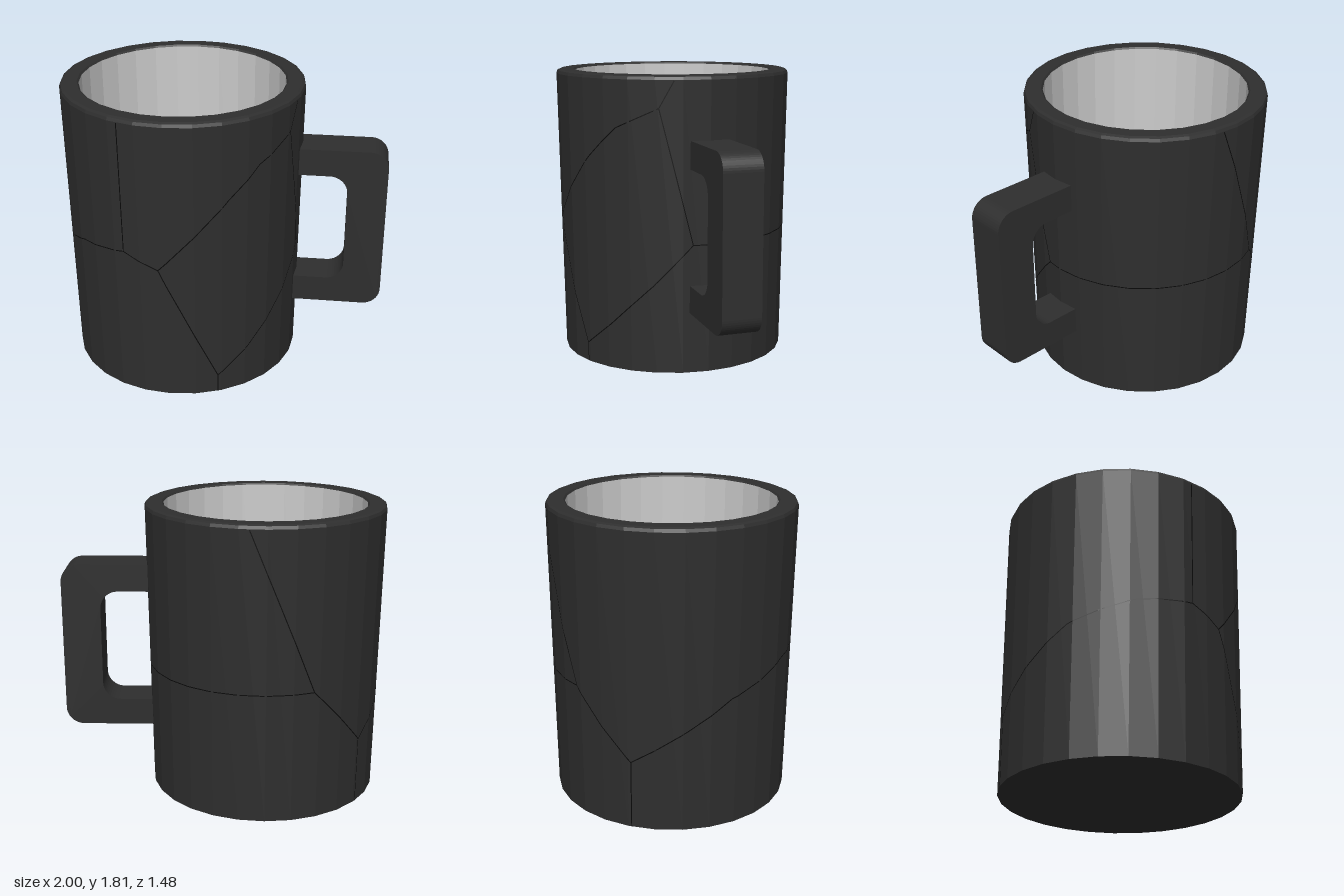
import * as THREE from 'three';

const SIDES = 28, CX = -0.26, HEIGHT = 1.81, R_BASE = 0.713, R_TOP = 0.741;

const mat = (color) => new THREE.MeshStandardMaterial({ color, flatShading: true, side: THREE.DoubleSide });

function lathe(name, profile, material) {
  const points = profile.map(([r, y]) => new THREE.Vector2(r, y));
  const mesh = new THREE.Mesh(new THREE.LatheGeometry(points, SIDES), material);
  mesh.name = name;
  mesh.position.x = CX;
  return mesh;
}

// Point on the faceted outer wall at an angle (from +x towards +z) and height
function onWall(angle, y) {
  const step = (2 * Math.PI) / SIDES;
  const offset = angle - Math.floor(angle / step) * step - step / 2;
  const radius = R_BASE + (R_TOP - R_BASE) * (y / HEIGHT);
  const r = (radius * Math.cos(step / 2)) / Math.cos(offset) + 0.0015;
  return [CX + r * Math.cos(angle), y, r * Math.sin(angle)];
}

// Hairline strip following [degrees, height] points over the wall
function crack(path, material) {
  const half = 0.003, pos = [], index = [];
  for (let i = 0; i < path.length - 1; i++) {
    const [a0, y0] = [THREE.MathUtils.degToRad(path[i][0]), path[i][1]];
    const [a1, y1] = [THREE.MathUtils.degToRad(path[i + 1][0]), path[i + 1][1]];
    const ds = (a1 - a0) * 0.73, dy = y1 - y0, len = Math.hypot(ds, dy);
    const da = (-dy / len) * half / 0.73, dh = (ds / len) * half;
    const steps = Math.ceil(len / 0.04);
    for (let k = 0; k <= steps; k++) {
      const t = k / steps, a = a0 + (a1 - a0) * t, y = y0 + dy * t, n = pos.length / 3;
      pos.push(...onWall(a + da, y + dh), ...onWall(a - da, y - dh));
      if (k < steps) index.push(n, n + 1, n + 2, n + 1, n + 3, n + 2);
    }
  }
  const geo = new THREE.BufferGeometry();
  geo.setAttribute('position', new THREE.Float32BufferAttribute(pos, 3));
  geo.setIndex(index);
  geo.computeVertexNormals();
  const mesh = new THREE.Mesh(geo, material);
  mesh.name = 'crack';
  return mesh;
}

export function createModel() {
  const group = new THREE.Group();
  group.name = 'mug';
  const dark = mat(0x2e2e2e), inside = mat(0xcccccc), gap = mat(0x080808);

  // Tapered body with a softened rim
  group.add(lathe('body', [
    [0, 0], [R_BASE, 0], [R_TOP, HEIGHT - 0.025], [R_TOP - 0.007, HEIGHT - 0.007],
    [R_TOP - 0.025, HEIGHT], [0.635, HEIGHT], [0.625, HEIGHT - 0.01],
  ], dark));

  // Pale inner wall and floor
  group.add(lathe('interior', [[0.625, HEIGHT - 0.01], [0.62, 0.12], [0, 0.12]], inside));

  // Squared C-shaped handle with rounded outer and inner corners
  const start = 0.42, r = 0.11;
  const shape = new THREE.Shape();
  shape.moveTo(start, 0.38);
  shape.lineTo(1 - r, 0.38);
  shape.absarc(1 - r, 0.38 + r, r, -Math.PI / 2, 0, false);
  shape.absarc(1 - r, 1.43 - r, r, 0, Math.PI / 2, false);
  shape.lineTo(start, 1.43);
  shape.lineTo(start, 1.26);
  shape.absarc(0.76 - r, 1.26 - r, r, Math.PI / 2, 0, true);
  shape.absarc(0.76 - r, 0.55 + r, r, 0, -Math.PI / 2, true);
  shape.lineTo(start, 0.55);
  const handleGeo = new THREE.ExtrudeGeometry(shape, { depth: 0.24, bevelEnabled: false, curveSegments: 6 });
  handleGeo.translate(0, 0, -0.12);
  const handle = new THREE.Mesh(handleGeo, dark);
  handle.name = 'handle';
  group.add(handle);

  // Hairline cracks between the shards
  const cracks = new THREE.Group();
  cracks.name = 'cracks';
  const A = [111, 0.97], B = [94, 0.88], C = [66, 0.12], D = [24, 1.62], E = [8, 0.8], F = [-113, 0.81], G = [217, 0.42];
  [
    [[111, 1.78], A, B, C, [66, 0]],
    [B, [61, 1.32], [45, 1.5], D, [17, 1.78]],
    [D, E, F, [-82, 1.78]],
    [C, [50, 0.28], [27, 0.55], E],
    [A, [138, 0.93], [170, 0.8], G, [217, 0]],
    [G, [247, 0.81]],
  ].forEach((path) => cracks.add(crack(path, gap)));
  group.add(cracks);

  return group;
}
